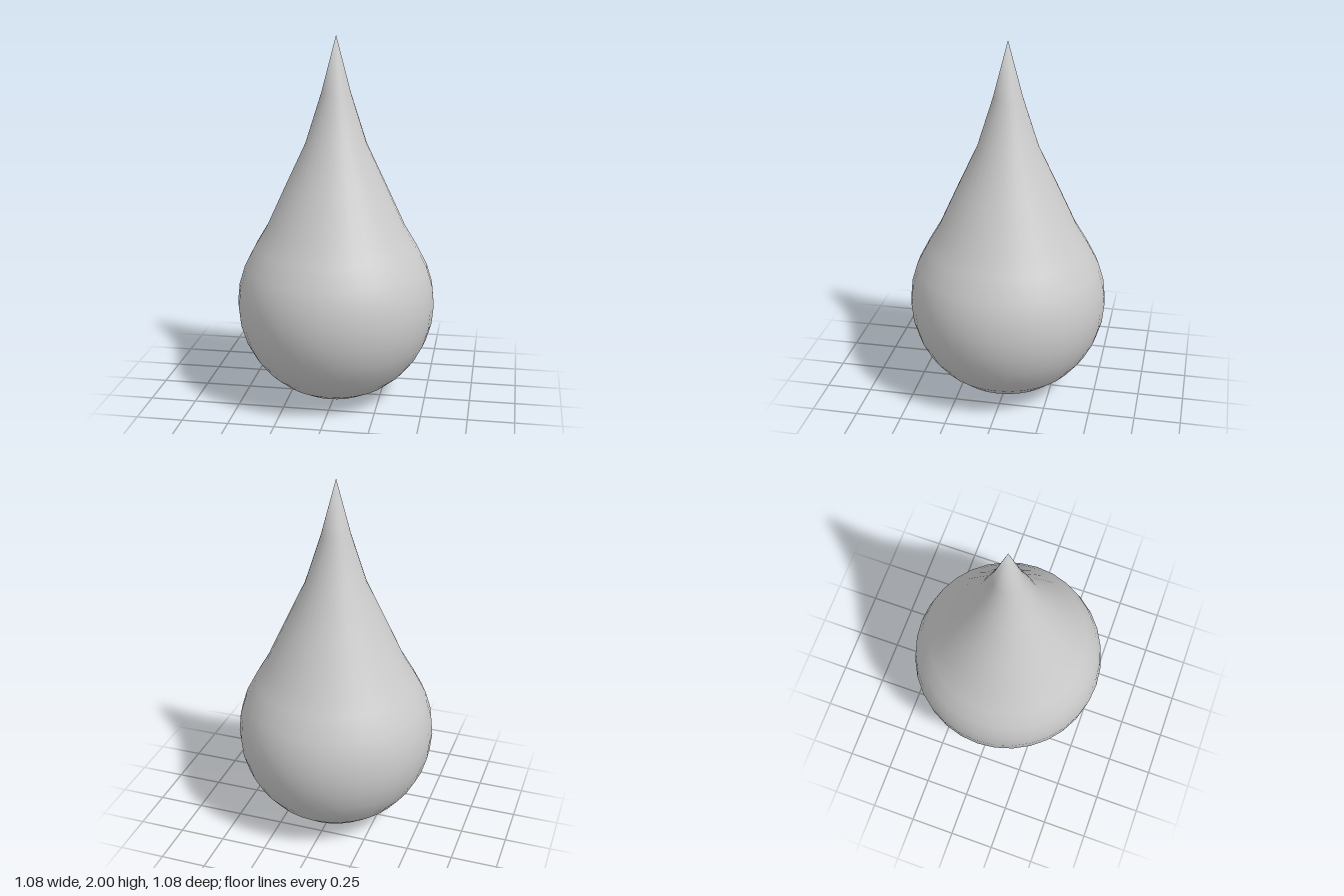
import * as THREE from 'three';
import { mergeVertices } from 'three/addons/utils/BufferGeometryUtils.js';

const RADIUS = 0.54, CENTRE = 0.545, STEP = Math.PI / 16;

export function createModel() {
  const group = new THREE.Group();
  group.name = 'teardrop';

  // Round belly: sphere rings from the bottom pole to just above the equator
  const profile = [new THREE.Vector2(0, 0)];
  for (let i = -7; i <= 2; i++) {
    profile.push(new THREE.Vector2(RADIUS * Math.cos(i * STEP), CENTRE + RADIUS * Math.sin(i * STEP)));
  }
  // Neck drawn up to a point
  for (const [r, y] of [[0.44, 0.865], [0.375, 0.975], [0.272, 1.2], [0.164, 1.43], [0.078, 1.7], [0, 2]]) {
    profile.push(new THREE.Vector2(r, y));
  }

  // Weld the seam and poles so the shading is smooth all round
  let geometry = new THREE.LatheGeometry(profile, 32);
  geometry.deleteAttribute('uv');
  geometry.deleteAttribute('normal');
  geometry = mergeVertices(geometry, 1e-4);
  geometry.computeVertexNormals();

  const drop = new THREE.Mesh(geometry, new THREE.MeshStandardMaterial({ color: 0xcccccc }));
  drop.name = 'drop';
  group.add(drop);
  return group;
}
